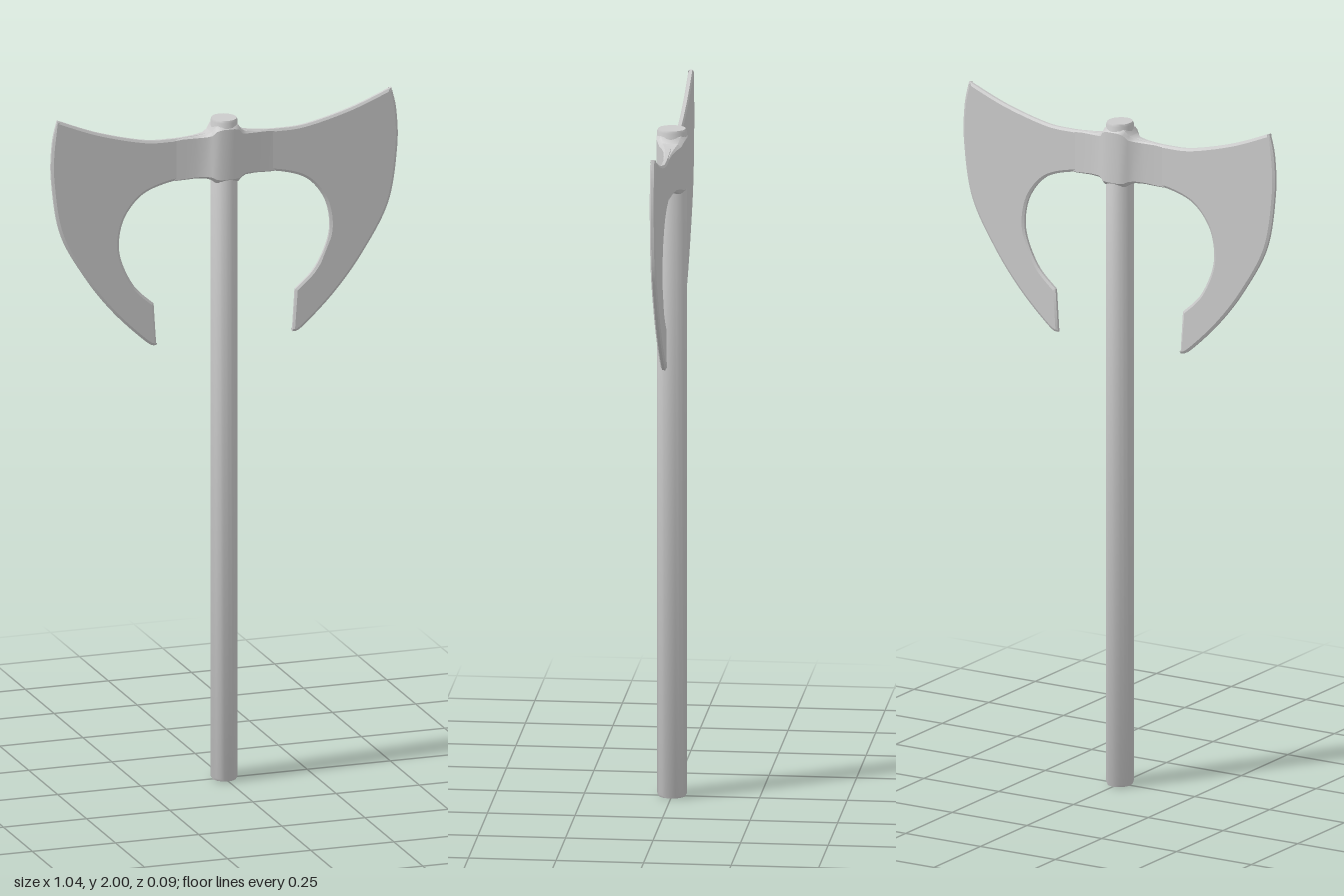
import * as THREE from 'three';
import { toCreasedNormals } from 'three/addons/utils/BufferGeometryUtils.js';

const material = new THREE.MeshStandardMaterial({ color: 0xcccccc });

function addMesh(group, name, geometry) {
  const mesh = new THREE.Mesh(geometry, material);
  mesh.name = name;
  group.add(mesh);
  return mesh;
}

// Crescent blade outline; side is +1 or -1
function bladeGeometry(side) {
  const v = (x, y) => new THREE.Vector2(x * side, y);
  const shape = new THREE.Shape();
  shape.moveTo(0.04 * side, 1.92);
  // concave top edge up to the horn
  shape.splineThru([v(0.1, 1.915), v(0.16, 1.912), v(0.245, 1.917), v(0.38, 1.952), v(0.502, 2.0)]);
  // curved cutting edge
  shape.splineThru([v(0.517, 1.93), v(0.519, 1.82), v(0.492, 1.66), v(0.415, 1.52),
    v(0.33, 1.41), v(0.235, 1.318), v(0.205, 1.305)]);
  // blunt lower tip and round inner cut-out
  shape.lineTo(0.213 * side, 1.43);
  shape.splineThru([v(0.27, 1.485), v(0.308, 1.56), v(0.317, 1.625), v(0.298, 1.697),
    v(0.245, 1.757), v(0.165, 1.785), v(0.09, 1.79), v(0.04, 1.788)]);
  shape.closePath();
  const geometry = new THREE.ExtrudeGeometry(shape, {
    depth: 0.008, curveSegments: 24, bevelEnabled: true, bevelSegments: 1,
    bevelSize: 0.007, bevelOffset: -0.007, bevelThickness: 0.004,
  });
  geometry.translate(0, 0, -0.004);
  return toCreasedNormals(geometry, 0.5);
}

// Socket lofted across x from chamfered rectangular sections
function socketGeometry() {
  // x, half thickness, top, bottom
  const half = [
    [0.15, 0.0075, 1.908, 1.787], [0.125, 0.01, 1.912, 1.788], [0.09, 0.014, 1.914, 1.79],
    [0.06, 0.021, 1.918, 1.789], [0.045, 0.031, 1.926, 1.784], [0.034, 0.039, 1.942, 1.776],
    [0.018, 0.043, 1.948, 1.774],
  ];
  const sections = [
    ...half.map(([x, ...rest]) => [-x, ...rest]),
    [0, 0.0445, 1.949, 1.774],
    ...half.slice().reverse(),
  ];
  const n = 8, positions = [], index = [];
  for (const [x, w, top, bottom] of sections) {
    const c = w * 0.3;
    const ring = [[top, w - c], [top - c, w], [bottom + c, w], [bottom, w - c],
      [bottom, c - w], [bottom + c, -w], [top - c, -w], [top, c - w]];
    for (const [y, z] of ring) positions.push(x, y, z);
  }
  for (let i = 0; i < sections.length - 1; i++) {
    for (let j = 0; j < n; j++) {
      const a = i * n + j, b = i * n + (j + 1) % n;
      index.push(a, b, a + n, b, b + n, a + n);
    }
  }
  // end caps
  const last = (sections.length - 1) * n;
  for (let j = 1; j < n - 1; j++) {
    index.push(0, j + 1, j, last, last + j, last + j + 1);
  }
  const geometry = new THREE.BufferGeometry();
  geometry.setAttribute('position', new THREE.Float32BufferAttribute(positions, 3));
  geometry.setIndex(index);
  return toCreasedNormals(geometry, 0.6);
}

export function createModel() {
  const group = new THREE.Group();
  group.name = 'doubleAxe';

  // Slightly oval shaft with eased ends
  const profile = [[0, 0], [0.036, 0], [0.04, 0.008], [0.04, 1.953], [0.037, 1.96], [0, 1.96]]
    .map(([r, y]) => new THREE.Vector2(r, y));
  const shaft = toCreasedNormals(new THREE.LatheGeometry(profile, 20), 0.6);
  shaft.scale(0.96, 1, 1.06);
  addMesh(group, 'shaft', shaft);

  addMesh(group, 'socket', socketGeometry());
  addMesh(group, 'leftBlade', bladeGeometry(1));
  addMesh(group, 'rightBlade', bladeGeometry(-1));
  return group;
}
